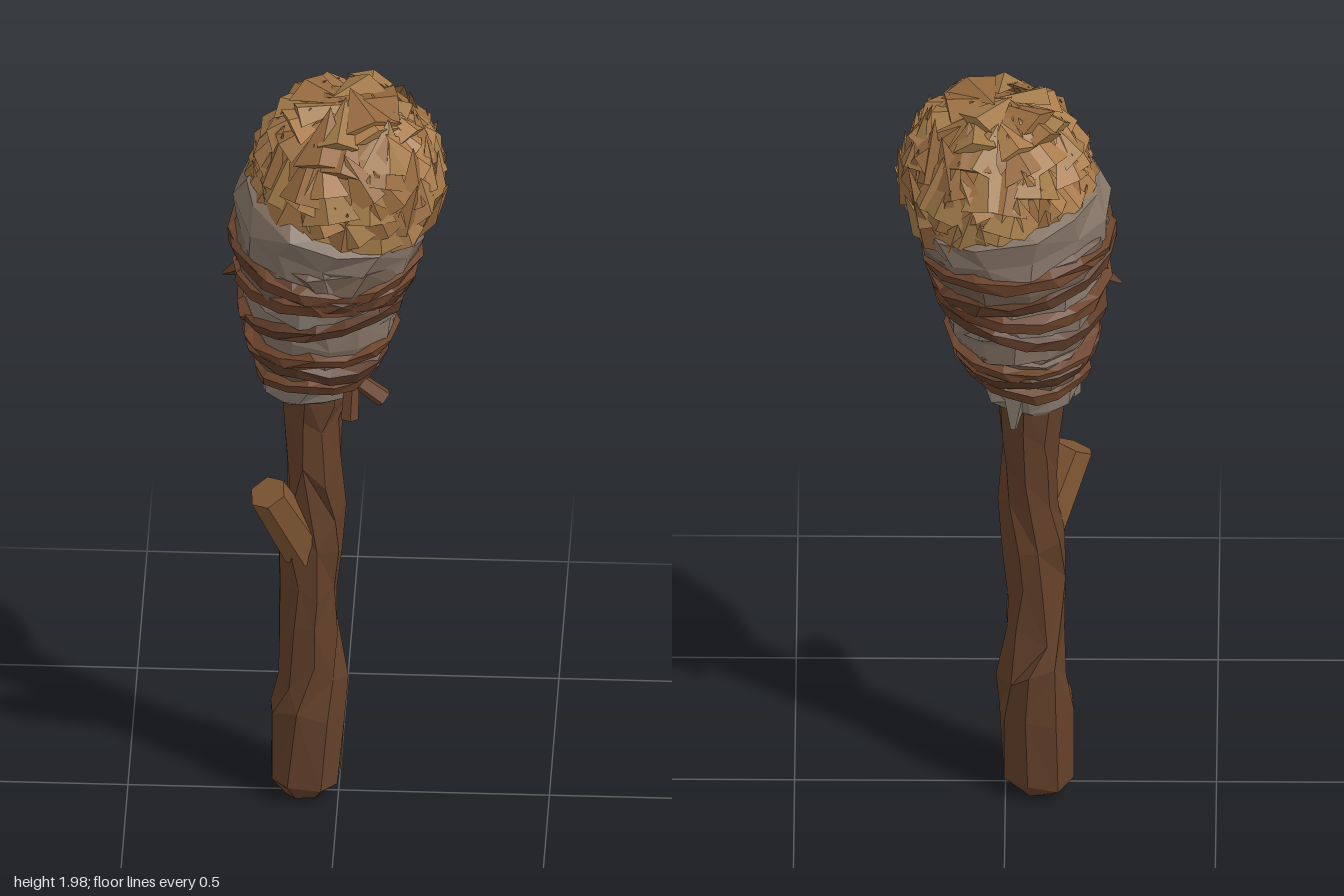
import * as THREE from 'three';
import { mergeGeometries } from 'three/addons/utils/BufferGeometryUtils.js';

let seed = 7;
function rnd(a = -1, b = 1) {
  seed = (seed * 16807) % 2147483647;
  return a + (b - a) * seed / 2147483647;
}

const mat = (color, side = THREE.FrontSide) =>
  new THREE.MeshStandardMaterial({ color, flatShading: true, side });
const V = (x, y, z) => new THREE.Vector3(x, y, z);

// Faceted skin over a stack of rings, with alternating diagonals
function loft(rings) {
  const pos = [];
  for (let r = 0; r < rings.length - 1; r++) {
    const n = rings[r].length;
    for (let i = 0; i < n; i++) {
      const j = (i + 1) % n;
      const [A, B, C, D] = [rings[r][i], rings[r][j], rings[r + 1][j], rings[r + 1][i]];
      const tris = (i + r) % 2 ? [A, D, C, A, C, B] : [A, D, B, D, C, B];
      for (const p of tris) pos.push(p.x, p.y, p.z);
    }
  }
  const g = new THREE.BufferGeometry();
  g.setAttribute('position', new THREE.Float32BufferAttribute(pos, 3));
  g.computeVertexNormals();
  return g;
}

// Linear lookup in rows of [y, value, value...]
function sample(rows, y) {
  let i = 0;
  while (i < rows.length - 2 && y > rows[i + 1][0]) i++;
  const t = THREE.MathUtils.clamp((y - rows[i][0]) / (rows[i + 1][0] - rows[i][0]), 0, 1);
  return rows[i].map((v, k) => v + (rows[i + 1][k] - v) * t);
}

// Outline of the wrapped head: y, centre x, radius
const HEAD = [[1.1, -0.06, 0.088], [1.2, -0.055, 0.11], [1.3, -0.045, 0.148], [1.45, -0.038, 0.178],
  [1.6, -0.025, 0.208], [1.7, -0.005, 0.222], [1.82, 0.012, 0.215]];
function onHead(a, y, off) {
  const [, cx, r] = sample(HEAD, y);
  return V(cx + Math.cos(a) * (r + off), y, Math.sin(a) * (r + off) * 1.04);
}

// A crumpled band round the head; profile rows are [height -1..1, lift]
function band({ y, h, tilt, phase, off, profile, sides, rough, jag }) {
  const wave = Array.from({ length: sides }, () => rnd(-jag, jag));
  return loft(profile.map(([t, lift]) => Array.from({ length: sides }, (_, i) => {
    const a = (i + rnd(-0.2, 0.2)) / sides * Math.PI * 2 + phase;
    const yy = y + t * h + tilt * Math.cos(a - phase) + wave[i] + rnd(-0.3, 0.3) * jag;
    return onHead(a, yy, off + lift + rnd(-rough, rough));
  })));
}

// A tapered broken-off twig between two points
function twig(a, b, r0, r1, sides = 6) {
  const g = new THREE.CylinderGeometry(r1, r0, a.distanceTo(b), sides);
  g.applyQuaternion(new THREE.Quaternion().setFromUnitVectors(V(0, 1, 0), b.clone().sub(a).normalize()));
  const m = a.clone().add(b).multiplyScalar(0.5);
  return g.translate(m.x, m.y, m.z);
}

export function createModel() {
  seed = 7;
  const group = new THREE.Group();
  group.name = 'torch';
  const add = (name, geo, material) => {
    const m = new THREE.Mesh(geo, material);
    m.name = name;
    group.add(m);
  };
  const wood = mat(0x63402a), cutWood = mat(0x7d5532);
  const ropes = [0x6b432b, 0x5b3a28].map(c => mat(c, THREE.DoubleSide));
  const cloths = [0x8d8074, 0x6f5c4d, 0x857466].map(c => mat(c, THREE.DoubleSide));

  // Rough-hewn handle: y, centre x, centre z, radius x, radius z
  const shaft = [[0, -0.08, -0.01, 0, 0], [0.005, -0.08, -0.01, 0.055, 0.06], [0.045, -0.08, -0.01, 0.087, 0.092],
    [0.23, -0.073, -0.01, 0.092, 0.094], [0.35, -0.062, -0.015, 0.08, 0.088], [0.47, -0.07, -0.003, 0.074, 0.078],
    [0.58, -0.07, 0, 0.072, 0.076], [0.7, -0.068, -0.003, 0.077, 0.076], [0.82, -0.058, -0.004, 0.072, 0.074],
    [0.94, -0.06, -0.006, 0.066, 0.08], [1.06, -0.064, -0.01, 0.073, 0.078], [1.16, -0.062, -0.01, 0.084, 0.09],
    [1.35, -0.05, 0, 0.09, 0.09]];
  add('handle', loft(shaft.map(([y, cx, cz, rx, rz], k) => Array.from({ length: 8 }, (_, i) => {
    const a = i / 8 * Math.PI * 2 + 0.35 * Math.sin(k * 0.8) + rnd(-0.12, 0.12);
    const s = 1 + rnd(-0.06, 0.08);
    const dy = k > 2 ? rnd(-0.04, 0.04) : k > 1 ? rnd(-0.012, 0.012) : 0;
    return V(cx + Math.cos(a) * rx * s, y + dy, cz + Math.sin(a) * rz * s);
  }))), wood);

  // Branch stub
  add('branchStub', twig(V(-0.08, 0.7, 0.02), V(-0.164, 0.905, 0.096), 0.056, 0.047, 6), cutWood);

  // Cloth strips: middle height, half height, tilt, direction of the high side, lift
  const clothProfile = [[-1, -0.008], [-0.75, 0.012], [0, 0.014], [0.75, 0.008], [1, -0.02]];
  [[1.195, 0.05, 0.02, 0.8, 0], [1.28, 0.065, 0.02, 0, 0], [1.38, 0.08, 0.03, 3.4, 0.004],
    [1.48, 0.075, 0.045, 2.8, 0.004], [1.565, 0.075, 0.03, 3.6, 0.006], [1.645, 0.08, 0.055, 3.5, 0.006],
  ].forEach(([y, h, tilt, phase, off], k) => add('clothStrip' + (k + 1), band({
    y, h, tilt, phase, off, profile: clothProfile, sides: 13, rough: 0.011, jag: 0.014,
  }), cloths[k % 3]));

  // Flat bark cords: middle height, half height, tilt, direction of the high side
  const cordProfile = [[-1, 0], [-0.6, 0.024], [0.5, 0.026], [1, 0]];
  [[1.225, 0.026, 0.012, 0.4], [1.275, 0.03, 0.02, 2.6], [1.315, 0.022, 0.02, 1.2], [1.42, 0.026, 0.03, 0.4],
    [1.485, 0.028, 0.025, 1.6], [1.53, 0.028, 0.06, 3.1], [1.575, 0.026, 0.04, 3.9],
  ].forEach(([y, h, tilt, phase], k) => add('cord' + (k + 1), band({
    y, h, tilt, phase, off: 0.006, profile: cordProfile, sides: 15, rough: 0.005, jag: 0.01,
  }), ropes[k % 2]));

  // Loose cord ends, torn flaps and splinters
  add('cordKnot', new THREE.IcosahedronGeometry(0.04, 0).translate(0.025, 1.235, 0.08), ropes[0]);
  add('cordEndLong', twig(V(0.02, 1.245, 0.08), V(0.112, 1.175, 0.085), 0.02, 0.024, 5), ropes[0]);
  add('cordEndShort', twig(V(0.035, 1.23, 0.08), V(0.03, 1.125, 0.1), 0.018, 0.022, 5), ropes[0]);
  add('clothFlapBack', twig(V(-0.03, 1.24, -0.095), V(-0.02, 1.1, -0.11), 0.045, 0.008, 4), cloths[0]);
  add('clothFlapRight', twig(V(-0.13, 1.25, 0), V(-0.16, 1.13, -0.005), 0.05, 0.02, 5), cloths[2]);
  add('splinterLow', twig(V(-0.18, 1.41, 0.06), V(-0.232, 1.4, 0.06), 0.05, 0.03, 4), ropes[0]);
  add('splinterTip', twig(V(-0.2, 1.5, 0), V(-0.275, 1.455, -0.01), 0.035, 0.004, 4), ropes[1]);

  // Straw core: lumpy ball stuffed into the wrapping
  const C = V(0.022, 1.745, 0), R = V(0.217, 0.228, 0.217);
  const core = new THREE.IcosahedronGeometry(1, 3);
  const cp = core.attributes.position;
  for (let i = 0; i < cp.count; i++) {
    const p = V().fromBufferAttribute(cp, i);
    const s = 0.98 + 0.05 * Math.sin(p.x * 13 + p.z * 7) * Math.sin(p.y * 11 + p.z * 9);
    p.multiplyScalar(s).multiply(R).add(C);
    cp.setXYZ(i, p.x, p.y, p.z);
  }
  core.computeVertexNormals();
  add('strawCore', core, mat(0x946a3f));

  // Straw tufts: broad pointed blades hugging the ball, tips a little lifted
  const tufts = [[], [], []];
  [[-0.2, 17], [0.02, 18], [0.24, 18], [0.48, 16], [0.74, 13], [1.0, 9], [1.25, 5]].forEach(([lat, count], k) => {
    for (let i = 0; i < count; i++) {
      const a = (i + 0.5 * (k % 2) + rnd(-0.3, 0.3)) / count * Math.PI * 2;
      const l = lat + rnd(-0.09, 0.09);
      const n = V(Math.cos(l) * Math.cos(a), Math.sin(l), Math.cos(l) * Math.sin(a));
      const up = V(-Math.sin(l) * Math.cos(a), Math.cos(l), -Math.sin(l) * Math.sin(a));
      const side = V().crossVectors(up, n);
      // Blades on the left flank splay out further than the rest
      const lift = (k > 4 ? -0.2 : 0) + 0.22 * Math.max(0, n.x) + rnd(-0.15, 0.12);
      const axis = up.clone().addScaledVector(n, lift).addScaledVector(side, rnd(-0.6, 0.4)).normalize();
      const out = n.clone().addScaledVector(axis, -n.dot(axis)).normalize();
      const len = rnd(0.11, 0.16), w = rnd(0.045, 0.075);
      const blade = new THREE.ConeGeometry(1, 1, 4, 1).translate(0, 0.2, 0).scale(w, len, 0.024);
      const basis = new THREE.Matrix4().makeBasis(V().crossVectors(axis, out), axis, out);
      blade.applyMatrix4(basis.setPosition(n.clone().multiply(R).add(C)));
      const p = blade.attributes.position;
      for (let v = 0; v < p.count; v++) p.setY(v, Math.min(p.getY(v), 2));
      tufts[Math.floor(rnd(0, 2.999))].push(blade);
    }
  });
  [0xab7d4d, 0x966a3f, 0xa17a49].forEach((c, k) =>
    add('strawTufts' + (k + 1), mergeGeometries(tufts[k]), mat(c, THREE.DoubleSide)));

  return group;
}
